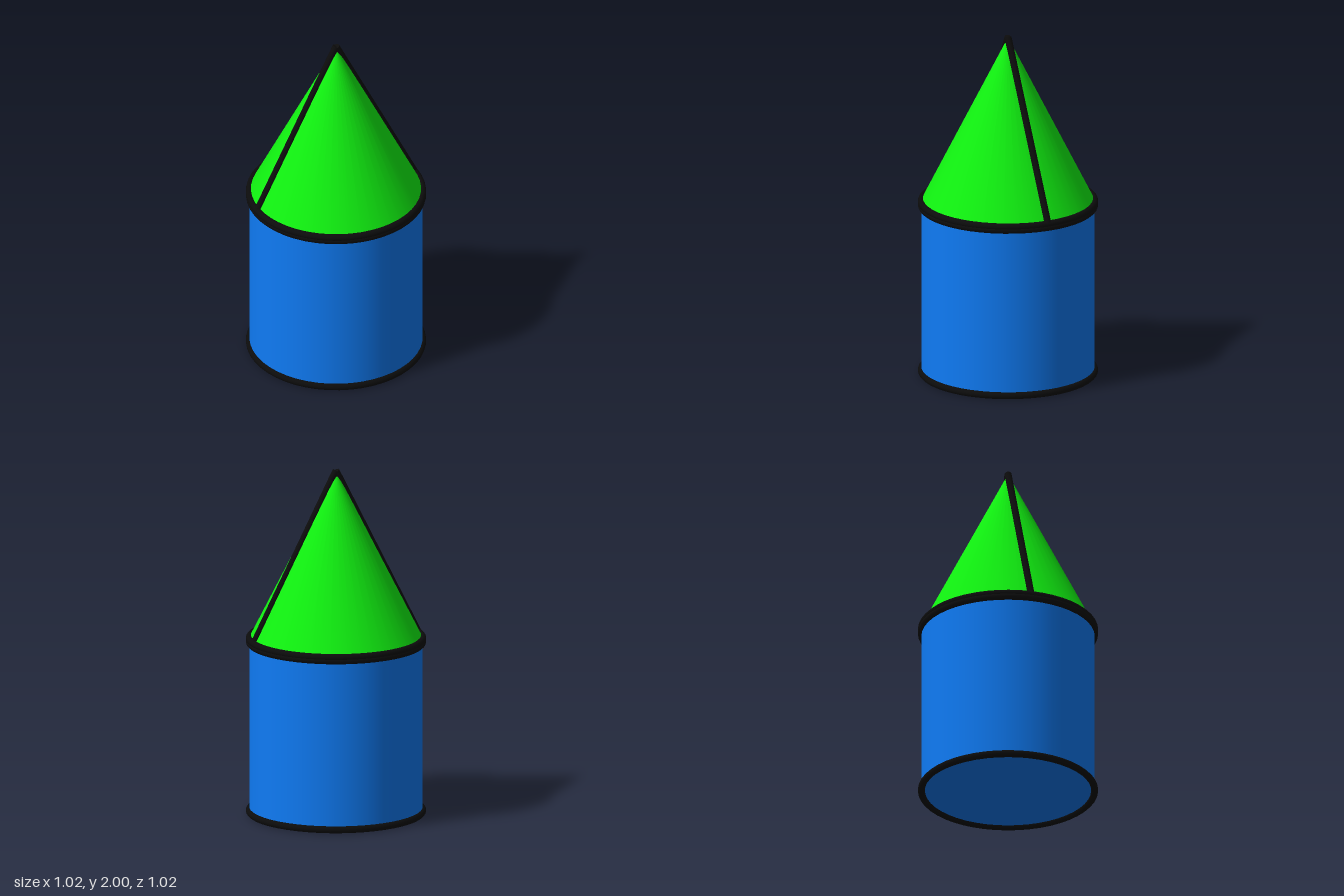
import * as THREE from 'three';

const SEGMENTS = 48;
const RADIUS = 0.49; // shared by the body, the roof and the trim rings
const TRIM = 0.02; // thickness radius of the dark trim
const BASE_Y = 0.02, BODY_TOP = 1.0, ROOF_Y = 1.02, APEX_Y = 1.99;

export function createModel() {
  const group = new THREE.Group();
  const blue = new THREE.MeshStandardMaterial({ color: 0x0f7bf5 });
  const green = new THREE.MeshStandardMaterial({ color: 0x10f010 });
  const black = new THREE.MeshStandardMaterial({ color: 0x0c0c0c });

  const add = (name, geometry, material, y = 0) => {
    const mesh = new THREE.Mesh(geometry, material);
    mesh.name = name;
    mesh.position.y = y;
    group.add(mesh);
    return mesh;
  };

  // Cylindrical body
  const bodyHeight = BODY_TOP - BASE_Y;
  add('body', new THREE.CylinderGeometry(RADIUS, RADIUS, bodyHeight, SEGMENTS), blue, BASE_Y + bodyHeight / 2);

  // Conical roof
  const roofHeight = APEX_Y - ROOF_Y;
  add('roof', new THREE.ConeGeometry(RADIUS, roofHeight, SEGMENTS), green, ROOF_Y + roofHeight / 2);

  // Trim rings at the base, the top of the body and the roof edge
  const ring = new THREE.TorusGeometry(RADIUS, TRIM, 12, SEGMENTS).rotateX(Math.PI / 2);
  add('baseRing', ring, black, BASE_Y);
  add('bodyTopRing', ring, black, BODY_TOP);
  add('roofRing', ring, black, ROOF_Y);

  // Straight ribs running down both sides of the roof
  const ribLength = Math.hypot(RADIUS, roofHeight);
  const rib = new THREE.CylinderGeometry(TRIM, TRIM, ribLength, 16);
  for (const [name, side] of [['leftRib', 1], ['rightRib', -1]]) {
    const mesh = add(name, rib, black, ROOF_Y + roofHeight / 2);
    mesh.position.x = side * RADIUS / 2;
    mesh.rotation.z = side * Math.atan2(RADIUS, roofHeight);
  }

  return group;
}
